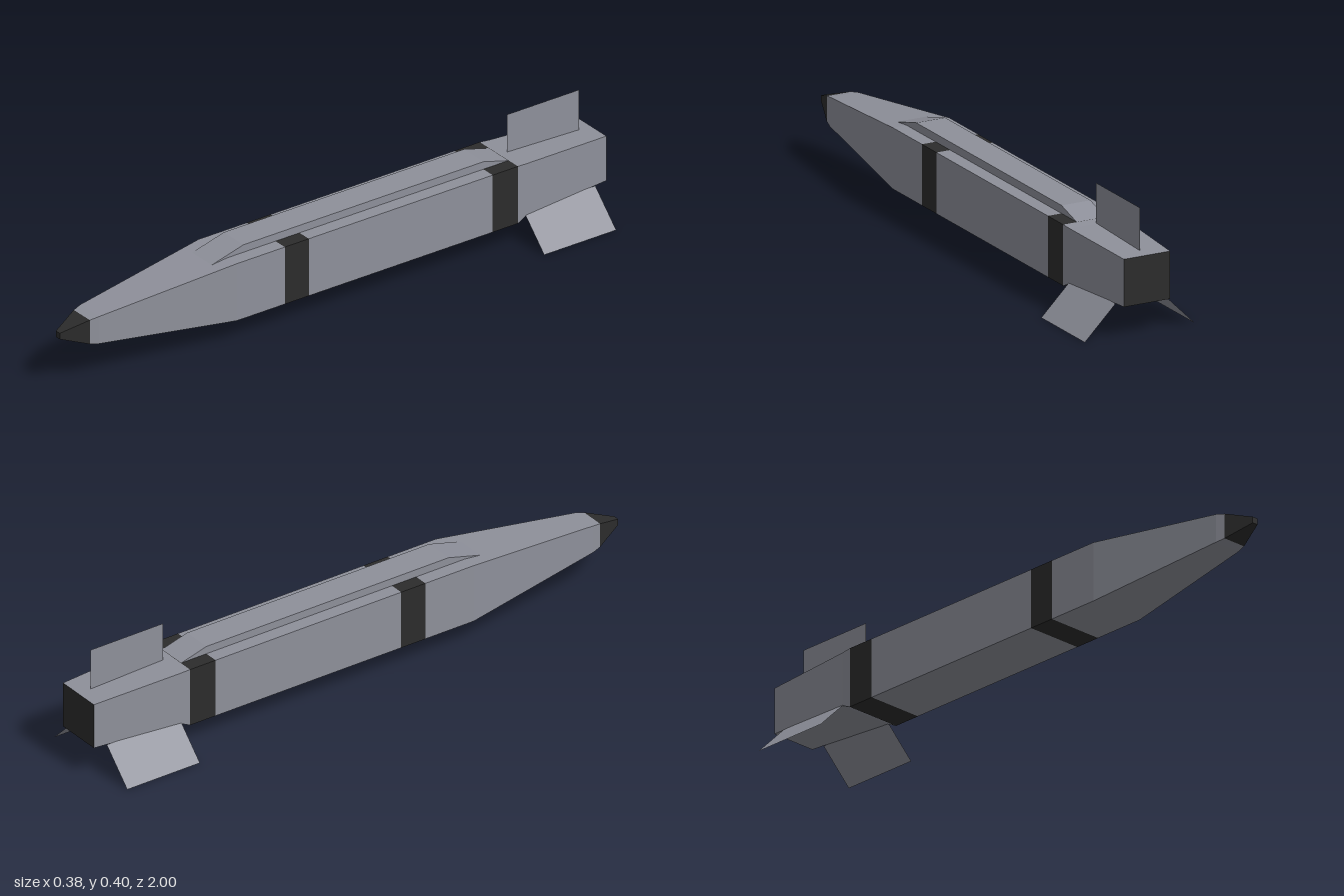
import * as THREE from 'three';

const grey = new THREE.MeshStandardMaterial({ color: 0x8e909a });
grey.name = 'bodyGrey';
const finGrey = new THREE.MeshStandardMaterial({ color: 0x8e909a, side: THREE.DoubleSide });
finGrey.name = 'finGrey';
const black = new THREE.MeshStandardMaterial({ color: 0x2c2c2c });
black.name = 'markingBlack';

// Flat-faced loft through rectangular sections [z, halfWidth, bottom, top], front to back
function loft(sections, frontCap = false, backCap = false) {
  const pos = [];
  const quad = (a, b, c, d) => pos.push(...a, ...b, ...c, ...a, ...c, ...d);
  const rings = sections.map(([z, w, lo, hi]) => [[-w, lo, z], [w, lo, z], [w, hi, z], [-w, hi, z]]);
  for (let s = 0; s < rings.length - 1; s++) {
    const a = rings[s], b = rings[s + 1];
    for (let i = 0; i < 4; i++) {
      const j = (i + 1) % 4;
      quad(a[i], b[i], b[j], a[j]);
    }
  }
  if (frontCap) quad(...rings[0]);
  if (backCap) quad(...rings[rings.length - 1].slice().reverse());
  const geo = new THREE.BufferGeometry();
  geo.setAttribute('position', new THREE.Float32BufferAttribute(pos, 3));
  geo.computeVertexNormals();
  return geo;
}

export function createModel() {
  const model = new THREE.Group();
  model.name = 'missile';
  const add = (name, geo, mat) => {
    const mesh = new THREE.Mesh(geo, mat);
    mesh.name = name;
    model.add(mesh);
    return mesh;
  };
  const full = z => [z, 0.0975, 0.0775, 0.2725];
  const noseBase = [0.91, 0.041, 0.134, 0.216];
  const tailEnd = [-1, 0.08, 0.108, 0.26];

  // Square body, split where the colour changes
  add('noseTip', loft([[1, 0.01, 0.166, 0.186], noseBase], true), black);
  add('noseCone', loft([noseBase, [0.88, 0.048, 0.129, 0.222], full(0.4)]), grey);
  add('forwardBody', loft([full(0.4), full(0.22)]), grey);
  add('forwardBand', loft([full(0.22), full(0.13)]), black);
  add('middleBody', loft([full(0.13), full(-0.56)]), grey);
  add('rearBand', loft([full(-0.56), full(-0.655)]), black);
  add('tail', loft([full(-0.655), [-0.69, 0.095, 0.094, 0.27], tailEnd]), grey);

  // Dark exhaust plate closing the tail
  const nozzle = new THREE.PlaneGeometry(0.16, 0.152).rotateY(Math.PI);
  add('exhaust', nozzle, black).position.set(0, 0.184, -1);

  // Raised cable fairing with sloped ends
  add('dorsalFairing', loft([
    [0.46, 0.05, 0.25, 0.266], [0.34, 0.05, 0.25, 0.298],
    [-0.56, 0.05, 0.25, 0.298], [-0.655, 0.05, 0.25, 0.272],
  ]), grey);

  // One upright fin and two lower fins angled out from the corners
  const fin = (name, length, x, y, angle) => {
    const geo = new THREE.PlaneGeometry(0.27, length).rotateY(Math.PI / 2).translate(0, length / 2, 0);
    const mesh = add(name, geo, finGrey);
    mesh.position.set(x, y, -0.82);
    mesh.rotation.z = angle;
  };
  fin('topFin', 0.138, 0, 0.26, 0);
  for (const side of [-1, 1]) {
    fin(side > 0 ? 'leftFin' : 'rightFin', 0.15, side * 0.084, 0.106, -side * Math.PI * 0.75);
  }
  return model;
}
